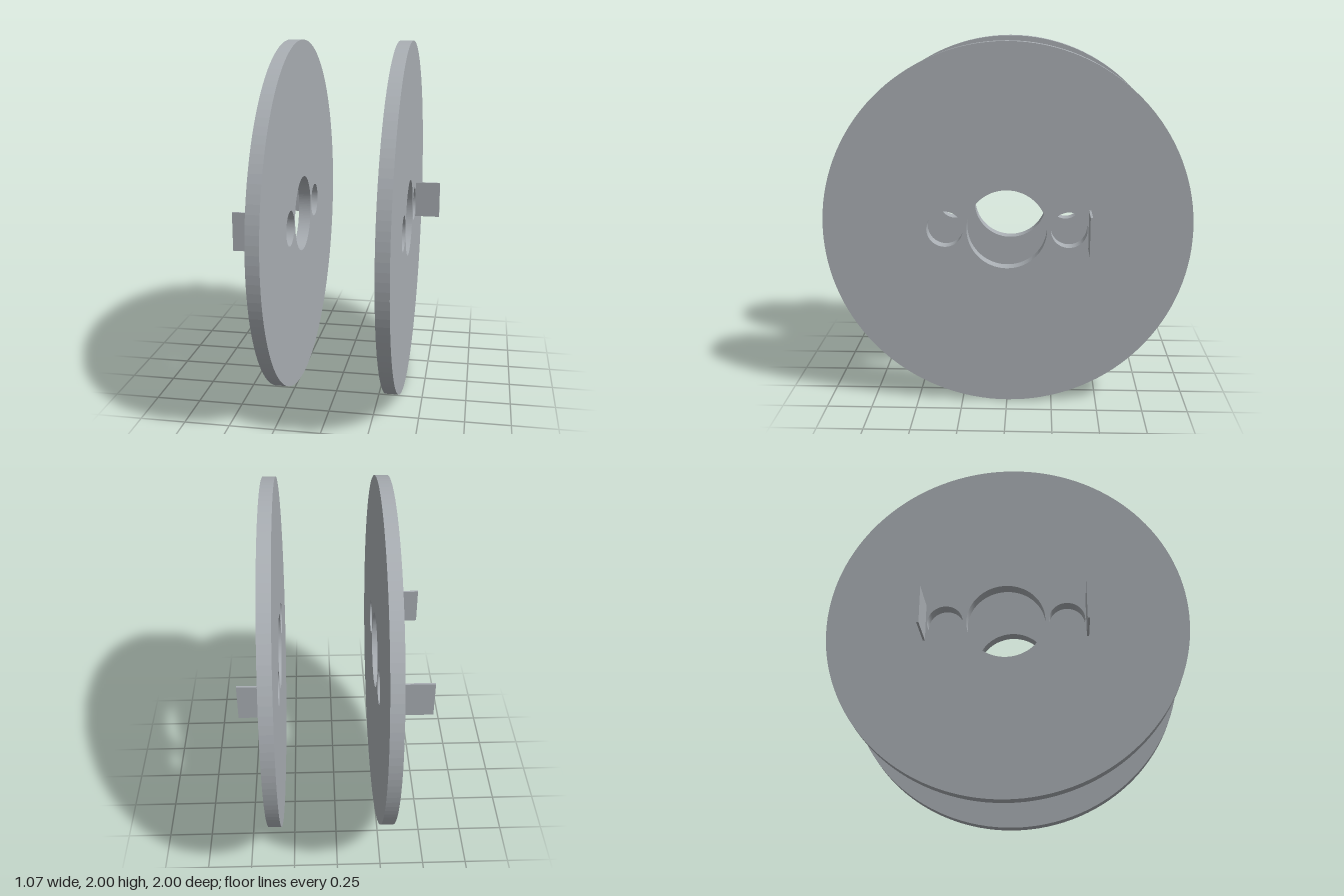
import * as THREE from 'three';

export function createModel() {
  const model = new THREE.Group();
  model.name = 'spoolFlanges';
  const steel = new THREE.MeshStandardMaterial({ name: 'steelGrey', color: 0xa9aeb3 });

  const circle = (PathType, x, radius) => new PathType().absarc(x, 0, radius, 0, Math.PI * 2, false);

  // Flange disc with a central bore and two smaller holes, facing along x
  function addDisc(name, xMin, xMax) {
    const shape = circle(THREE.Shape, 0, 1);
    shape.holes.push(circle(THREE.Path, 0, 0.218));
    for (const side of [-1, 1]) shape.holes.push(circle(THREE.Path, side * 0.337, 0.099));
    const geometry = new THREE.ExtrudeGeometry(shape, {
      depth: xMax - xMin, bevelEnabled: false, curveSegments: 64,
    });
    geometry.rotateY(Math.PI / 2);
    const disc = new THREE.Mesh(geometry, steel);
    disc.name = name;
    disc.position.set(xMin, 1, 0);
    model.add(disc);
  }

  // Thin upright tab standing out from a disc
  function addTab(name, xMin, xMax, z) {
    const tab = new THREE.Mesh(new THREE.BoxGeometry(xMax - xMin, 0.216, 0.012), steel);
    tab.name = name;
    tab.position.set((xMin + xMax) / 2, 1.002, z);
    model.add(tab);
  }

  addDisc('leftDisc', 0.312, 0.384);
  addDisc('rightDisc', -0.312, -0.24);

  addTab('leftBackTab', 0.384, 0.533, -0.447);
  addTab('rightBackTab', -0.535, -0.312, -0.45);
  addTab('rightFrontTab', -0.535, -0.312, 0.447);

  return model;
}
